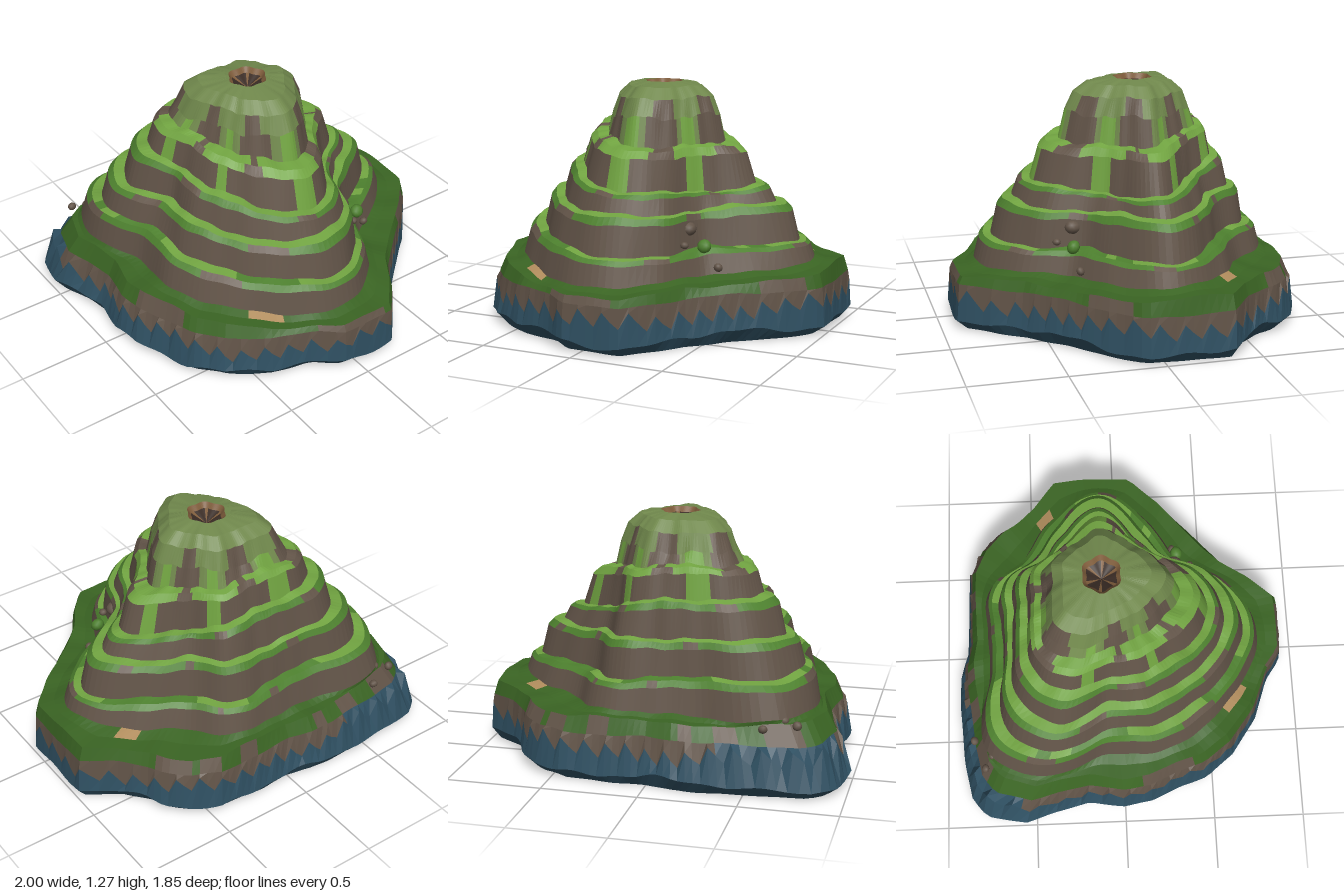
import * as THREE from 'three';

const N = 144;                   // segments around the mountain
const CZ = -0.09;                // the rings are centred on the peak
const TAU = Math.PI * 2;

const paint = (name, color) => Object.assign(new THREE.MeshStandardMaterial({ color }), { name });
const mats = {
  teal: paint('tealStone', 0x2f5062),
  rock: paint('brownRock', 0x625448),
  dark: paint('darkGrass', 0x3a6423),
  mid: paint('midGrass', 0x4d802e),
  bright: paint('brightGrass', 0x71a441),
  olive: paint('oliveGrass', 0x70884c),
  sand: paint('sand', 0xb08c5c),
  earth: paint('craterEarth', 0x7e5c3b),
  pit: paint('craterPit', 0x3a2c25),
};

// Smooth periodic lookup in a table of evenly spaced values
function around(table, t) {
  const n = table.length, s = ((t / TAU) % 1 + 1) % 1 * n, i = Math.floor(s), f = s - i;
  const [a, b, c, d] = [-1, 0, 1, 2].map(k => table[(i + k + n) % n]);
  return b + 0.5 * f * (c - a + f * (2 * a - 5 * b + 4 * c - d + f * (3 * (b - c) + d - a)));
}

// Shoreline, as x, z corners clockwise from the right
const shore = [
  [1, -0.36], [1, 0.1], [0.85, 0.27], [0.65, 0.45], [0.45, 0.63], [0.35, 0.78], [0.22, 0.925],
  [-0.1, 0.925], [-0.22, 0.84], [-0.45, 0.76], [-0.65, 0.62], [-0.77, 0.47], [-0.82, 0.32],
  [-0.9, 0.15], [-0.93, 0], [-0.9, -0.2], [-0.95, -0.4], [-1, -0.55], [-0.95, -0.78],
  [-0.85, -0.86], [-0.65, -0.9], [-0.3, -0.925], [-0.15, -0.92], [0, -0.88], [0.45, -0.87],
  [0.6, -0.8], [0.7, -0.7], [0.75, -0.6], [0.85, -0.48],
];

// Distance from the centre to the shoreline in direction t
function shoreRadius(t) {
  const dx = Math.cos(t), dz = Math.sin(t);
  for (let i = 0; i < shore.length; i++) {
    const [ax, az] = shore[i], [bx, bz] = shore[(i + 1) % shore.length];
    const ca = dx * (az - CZ) - dz * ax, cb = dx * (bz - CZ) - dz * bx;
    if (ca <= 0 && cb > 0) {
      const f = ca / (ca - cb);
      return dx * (ax + f * (bx - ax)) + dz * (az + f * (bz - az) - CZ);
    }
  }
  return 0.9;
}

// Foot of each cliff: radius in 16 directions, height at right, front, left, back
const cliffs = [
  { r: [.87, .74, .63, .77, .87, .82, .78, .75, .70, .88, .93, .70, .65, .70, .64, .76], h: [.35, .31, .37, .35] },
  { r: [.78, .62, .53, .68, .78, .73, .66, .64, .62, .78, .78, .60, .56, .60, .54, .64], h: [.46, .45, .55, .51] },
  { r: [.65, .50, .47, .60, .66, .62, .56, .54, .50, .66, .66, .53, .48, .52, .45, .53], h: [.65, .64, .70, .70] },
  { r: [.54, .42, .40, .50, .56, .52, .45, .43, .42, .53, .52, .43, .40, .42, .37, .42], h: [.73, .75, .87, .88] },
  { r: [.35, .32, .32, .36, .41, .35, .31, .30, .33, .39, .42, .35, .31, .33, .31, .31], h: [.96, .96, 1.03, 1.04] },
];
const noise = (t, k) => Math.sin(5 * t + k * 2.1) * 0.5 + Math.sin(11 * t + k * 3.7) * 0.3 + Math.sin(23 * t + k) * 0.2;
const footR = (k, t) => around(cliffs[k].r, t) + 0.009 * noise(t, k);
const footH = (k, t) => around(cliffs[k].h, t) + 0.015 * noise(t, k + 4);
const lerp = THREE.MathUtils.lerp;

// A ring of points from radius and height rules
const ring = (radius, height) => Array.from({ length: N }, (_, j) => {
  const t = j / N * TAU, r = radius(t, j);
  return [r * Math.cos(t), height(t, j), CZ + r * Math.sin(t)];
});

// Faceted strip between two rings; pick names the colour of each segment
function band(name, a, b, pick) {
  const buckets = {};
  for (let j = 0; j < N; j++) {
    const n = (j + 1) % N;
    const list = buckets[pick(j / N * TAU, j)] ??= [];
    list.push(...a[j], ...b[j], ...a[n], ...b[j], ...b[n], ...a[n]);
  }
  const geo = new THREE.BufferGeometry(), all = [], used = [];
  for (const [key, list] of Object.entries(buckets)) {
    geo.addGroup(all.length / 3, list.length / 3, used.length);
    used.push(mats[key]);
    for (const v of list) all.push(v);
  }
  geo.setAttribute('position', new THREE.Float32BufferAttribute(all, 3));
  geo.computeVertexNormals();
  const mesh = new THREE.Mesh(geo, used);
  mesh.name = name;
  return mesh;
}

export function createModel() {
  const model = new THREE.Group();
  model.name = 'terracedMountain';
  let last = ring(() => 0, () => 0);
  const grow = (name, radius, height, pick) => {
    const next = ring(radius, height);
    model.add(band(name, last, next, pick));
    last = next;
  };
  // Inward lean of the base wall, strongest at the back left
  const lean = t => around([0, 0.01, 0, 0.025, 0.04, 0.075, 0.04, 0.02], t);
  const wall = f => t => shoreRadius(t) * (1 - 0.012 * f - lean(t) * f);

  // Stone base with a jagged waterline
  grow('underside', t => shoreRadius(t) * (0.94 + 0.02 * noise(t, 1)), () => 0, () => 'teal');
  grow('baseSkirt', shoreRadius, t => 0.06 + 0.03 * noise(t, 2), () => 'teal');
  grow('tealWall', wall(0.6),
    (t, j) => 0.165 + [0.045, -0.035, 0][j % 3] + 0.03 * noise(t, 3) + 0.3 * lean(t), () => 'teal');
  grow('brownWall', wall(1.1), t => 0.255 + 0.012 * noise(t, 5), t => lean(t) > 0.065 ? 'teal' : 'rock');

  // Wide, nearly flat grassy ledge with two sandy hollows
  const ledge = f => t => lerp(wall(1.8)(t), footR(0, t), f);
  grow('ledgeEdge', ledge(0.06), t => footH(0, t) - 0.02, t => noise(t, 6) > 0.25 ? 'rock' : 'dark');
  grow('lowLedge', ledge(0.6), t => footH(0, t) - 0.018,
    () => 'dark');
  grow('innerLedge', t => footR(0, t), t => footH(0, t),
    t => (t > 1.93 && t < 2.14) || (t > 5.78 && t < 5.92) ? 'sand' : 'dark');

  // Terraces: cliff, grassy lip, ledge; rocky ribs run through the highest one
  const rib = t => Math.cos(7 * (t - 1.13)) + 0.4 * noise(t, 4);
  for (let k = 0; k < 4; k++) {
    const between = f => t => lerp(footR(k, t), footR(k + 1, t), f);
    const rise = (f, wave) => t => lerp(footH(k, t), footH(k + 1, t), f) + wave * noise(t, k + 9);
    const top = k === 3;
    grow('cliff', between(0.3), rise(0.77, 0.01), t => top && rib(t) < -0.8 ? 'bright' : 'rock');
    grow('grassLip', between(0.55), rise(0.95, 0.005),
      t => (top ? rib(t) > 0.6 : noise(t, k + 7) > 0.5) ? 'rock' : top ? 'bright' : 'mid');
    grow('terraceLedge', t => footR(k + 1, t), rise(1, 0),
      t => top && rib(t) > 0.9 ? 'rock' : k === 0 && noise(t, 8) > 0 ? 'mid' : 'bright');
  }

  // Ribbed summit
  const peak = f => t => footR(4, t) * f;
  grow('summitCliff', peak(0.91), t => 1.1 + 0.02 * noise(t, 3),
    t => rib(t) > -0.1 ? 'rock' : rib(t) < -0.8 ? 'bright' : 'olive');
  grow('summitShoulder', peak(0.8), t => 1.195 + 0.012 * noise(t, 6), t => rib(t) > 0.4 ? 'rock' : 'olive');
  grow('summitSlope', peak(0.62), t => 1.25 + 0.006 * noise(t, 6), () => 'olive');
  grow('summitTop', t => 0.1 + 0.006 * Math.cos(6 * t), () => 1.268, () => 'olive');

  // Crater
  grow('craterWall', t => 0.08 + 0.006 * Math.cos(6 * t), () => 1.24, () => 'earth');
  grow('craterFloor', () => 0, () => 1.2, (t, j) => j % 24 < 5 ? 'earth' : 'pit');

  // Boulders: x, y, z, size, colour
  const stones = [
    [0.33, 0.55, 0.32, 0.045, 'rock'], [0.43, 0.47, 0.34, 0.038, 'mid'], [0.5, 0.36, 0.32, 0.024, 'rock'],
    [0.35, 0.48, 0.41, 0.022, 'rock'], [-0.59, 0.34, -0.82, 0.024, 'rock'],
    [-0.75, 0.35, -0.76, 0.024, 'rock'], [-0.68, 0.36, -0.72, 0.024, 'rock'],
  ];
  stones.forEach(([x, y, z, s, key], i) => {
    const stone = new THREE.Mesh(new THREE.IcosahedronGeometry(s, 1), mats[key]);
    stone.name = 'boulder';
    stone.position.set(x, y, z);
    stone.rotation.set(i, i * 2, 0);
    stone.scale.y = 0.85;
    model.add(stone);
  });
  return model;
}
